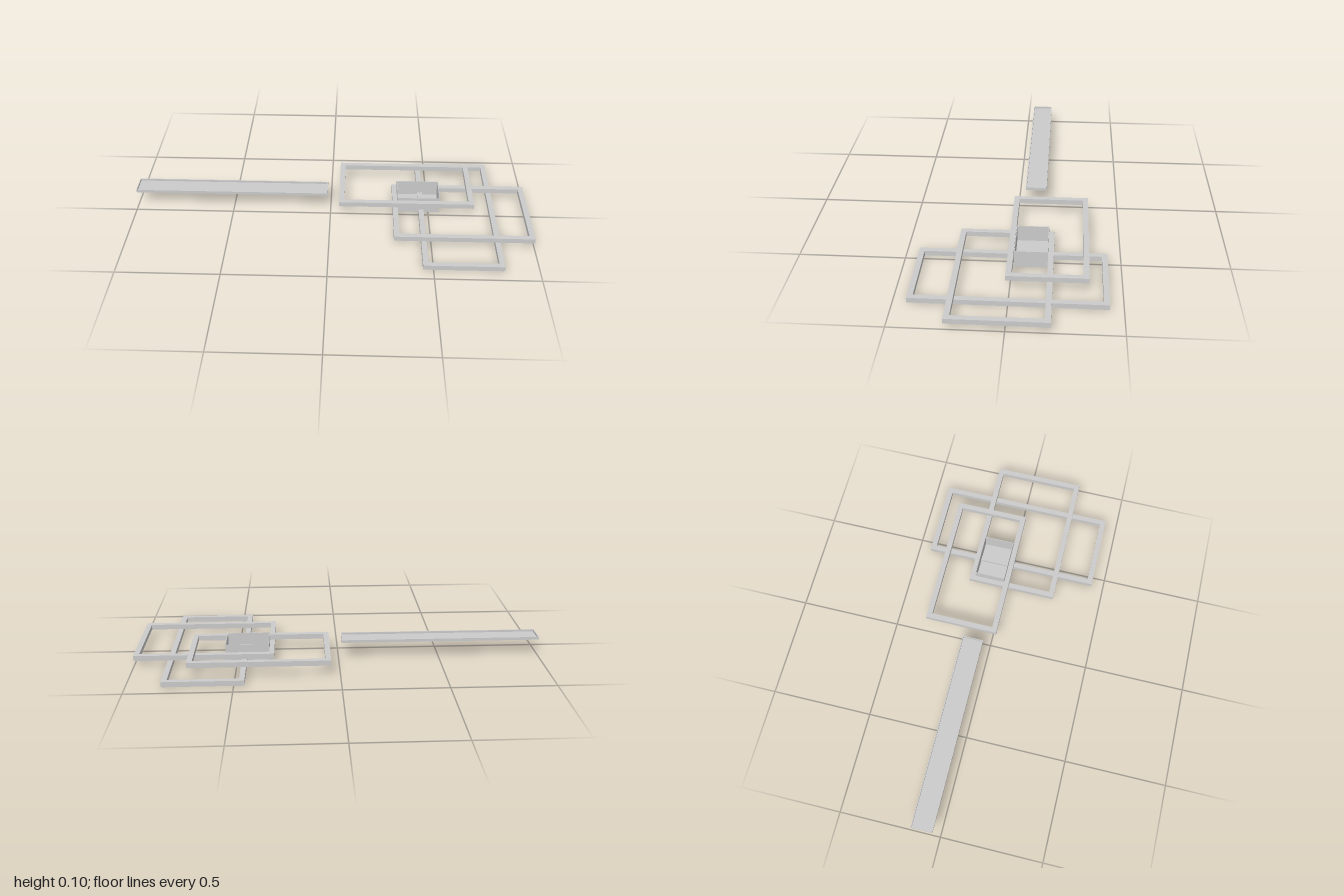
import * as THREE from 'three';

const metal = new THREE.MeshStandardMaterial({ color: 0xcccccc, flatShading: true, side: THREE.DoubleSide });

// Flat rectangular ring spanning x0..x1, z0..z1 with bars of the given width
function ring(name, x0, x1, z0, z1, y, height, width) {
  const rect = (Type, i) => {
    const s = new Type();
    s.moveTo(x0 + i, -z1 + i);
    s.lineTo(x1 - i, -z1 + i);
    s.lineTo(x1 - i, -z0 - i);
    s.lineTo(x0 + i, -z0 - i);
    s.closePath();
    return s;
  };
  const shape = rect(THREE.Shape, 0);
  shape.holes.push(rect(THREE.Path, width));
  const geo = new THREE.ExtrudeGeometry(shape, { depth: height, bevelEnabled: false });
  geo.rotateX(-Math.PI / 2);
  geo.translate(0, y, 0);
  const mesh = new THREE.Mesh(geo, metal);
  mesh.name = name;
  return mesh;
}

// Light frame: square-section body with a slightly narrower diffuser underneath
function lightFrame(name, x0, x1, z0, z1, y) {
  const g = new THREE.Group();
  const inset = 0.004, lip = 0.004, bar = 0.026;
  g.name = name;
  g.add(ring('frameBody', x0, x1, z0, z1, y + lip, 0.0235, bar));
  g.add(ring('frameDiffuser', x0 + inset, x1 - inset, z0 + inset, z1 - inset, y, lip, bar - 2 * inset));
  return g;
}

// Open-topped tray: thin rim walls around a floor
function tray(name, x0, x1, z0, z1, y0, y1, wall) {
  const g = new THREE.Group();
  g.name = name;
  g.add(ring('trayWalls', x0, x1, z0, z1, y0, y1 - y0, wall));
  const floor = new THREE.Mesh(new THREE.BoxGeometry(x1 - x0 - 2 * wall, wall, z1 - z0 - 2 * wall), metal);
  floor.name = 'trayFloor';
  floor.position.set((x0 + x1) / 2, y0 + wall / 2, (z0 + z1) / 2);
  g.add(floor);
  return g;
}

export function createModel() {
  const model = new THREE.Group();
  model.name = 'ceilingLight';

  // Three overlapping frames, stacked upward
  model.add(lightFrame('lowerFrame', 0.45, 0.835, -0.438, 0.438, 0));
  model.add(lightFrame('middleFrame', 0.317, 1.0, -0.19, 0.257, 0.0275));
  model.add(lightFrame('upperFrame', 0.045, 0.726, -0.35, 0.018, 0.055));

  // Central housing and the separate long mounting plate
  model.add(tray('centreHousing', 0.341, 0.555, -0.164, -0.01, 0.013, 0.096, 0.003));
  model.add(tray('mountingPlate', -1.0, -0.016, -0.14, -0.034, 0.084, 0.0985, 0.004));
  return model;
}
